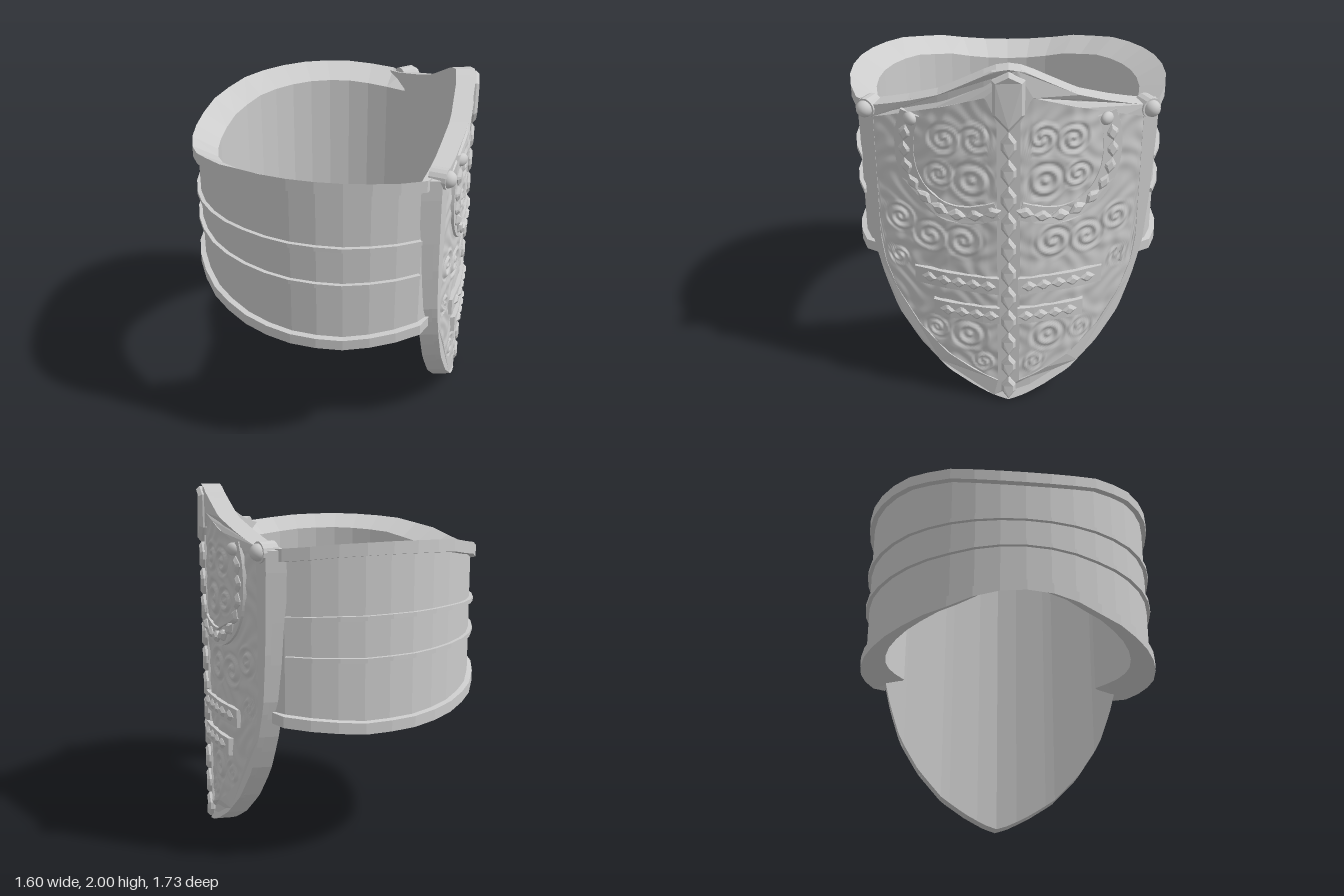
import * as THREE from 'three';

const grey = new THREE.MeshStandardMaterial({ color: 0xcccccc, flatShading: true });
const smooth = new THREE.MeshStandardMaterial({ color: 0xcccccc });

// Piecewise linear interpolation through [key, value] pairs
const table = (pts) => (k) => {
  let i = 1;
  while (i < pts.length - 1 && k > pts[i][0]) i++;
  const [a, b] = [pts[i - 1], pts[i]];
  const t = THREE.MathUtils.clamp((k - a[0]) / (b[0] - a[0]), 0, 1);
  return a[1] + (b[1] - a[1]) * t;
};

// Shield curvature and outlines, as functions of distance from the centre line
const face = table([[0, 0.772], [0.12, 0.755], [0.33, 0.7], [0.6, 0.585], [0.78, 0.495]]);
const shieldTop = table([[0, 2], [0.08, 1.985], [0.2, 1.92], [0.35, 1.84], [0.5, 1.785], [0.68, 1.73], [0.78, 1.71]]);
const shieldBottom = table([[0, 0.0], [0.07, 0.02], [0.2, 0.08], [0.35, 0.17], [0.5, 0.32], [0.62, 0.5],
  [0.69, 0.7], [0.74, 0.9], [0.765, 1.2], [0.78, 1.6]]);
const panelTop = table([[0.06, 1.72], [0.115, 1.85], [0.7, 1.66]]);
const panelBottom = table([[0.06, 0.13], [0.2, 0.19], [0.35, 0.28], [0.5, 0.43], [0.62, 0.63], [0.68, 0.8], [0.7, 0.95]]);

// Band edges along x
const bandTop = table([[-0.8, 1.63], [-0.7, 1.69], [-0.5, 1.74], [-0.2, 1.755], [0.1, 1.75], [0.5, 1.715]]);
const bandBottom = table([[-0.8, 0.9], [-0.7, 0.83], [-0.5, 0.785], [-0.3, 0.765], [0, 0.76], [0.3, 0.785], [0.5, 0.805]]);

// Wrap flat work (across, up, height) onto the curved shield
function bend(geo) {
  const p = geo.attributes.position;
  for (let i = 0; i < p.count; i++) {
    const u = p.getX(i);
    p.setXYZ(i, face(Math.abs(u)) + p.getZ(i), p.getY(i), -u);
  }
  geo.computeVertexNormals();
  return geo;
}

function add(group, name, geo, mat = grey) {
  const m = new THREE.Mesh(geo, mat);
  m.name = name;
  group.add(m);
  return m;
}

// Sweep a profile of [radius, height fraction, height offset] around the wrist
function sweep(profile, startDeg, n) {
  const pos = [], idx = [], k = profile.length;
  for (let s = 0; s <= n; s++) {
    const a = THREE.MathUtils.degToRad(startDeg + (360 - 2 * startDeg) * s / n);
    for (const [r, f, dy] of profile) {
      const z = r * Math.sin(a);
      const x = Math.min(0.07 + r * Math.cos(a), face(Math.abs(z)) - 0.05);
      const xe = 0.07 + 0.87 * Math.cos(a);
      pos.push(x, THREE.MathUtils.lerp(bandBottom(xe), bandTop(xe), f) + dy, z);
    }
  }
  for (let s = 0; s < n; s++) for (let i = 0; i < k; i++) {
    const a = s * k + i, b = s * k + (i + 1) % k;
    idx.push(a, b, a + k, b, b + k, a + k);
  }
  for (let i = 1; i < k - 1; i++) idx.push(0, i + 1, i, n * k, n * k + i, n * k + i + 1);
  const g = new THREE.BufferGeometry();
  g.setAttribute('position', new THREE.Float32BufferAttribute(pos, 3));
  g.setIndex(idx);
  g.computeVertexNormals();
  return g;
}

// Closed outline between a lower and an upper edge
function outline(u0, u1, lo, hi, n = 40) {
  const pts = [];
  const at = (i) => THREE.MathUtils.lerp(u0, u1, 0.5 - 0.5 * Math.cos(Math.PI * i / n));
  for (let i = 0; i <= n; i++) pts.push(new THREE.Vector2(at(i), lo(Math.abs(at(i)))));
  for (let i = n; i >= 0; i--) pts.push(new THREE.Vector2(at(i), hi(Math.abs(at(i)))));
  return pts;
}

// Chased ornament: spiral curls and rosettes over a wavy scroll ground
const curls = [[0.19, 1.38, 0.13, 0], [0.17, 1.62, 0.1, 2], [0.33, 1.6, 0.1, -1], [0.36, 1.4, 0.09, 1], [0.24, 1.02, 0.12, 1],
  [0.42, 1.02, 0.11, -1], [0.58, 1.1, 0.1, 1], [0.6, 0.85, 0.07, -1], [0.22, 0.42, 0.12, 0], [0.4, 0.43, 0.08, 1], [0.14, 0.25, 0.07, -1]];
function relief(u, y) {
  let h = 0.006 * Math.sin(34 * u + 3 * Math.sin(13 * y)) * Math.sin(30 * y + 2.5 * Math.sin(17 * u));
  for (const [cu, cy, r, turn] of curls) {
    const d = Math.hypot(u - cu, y - cy) / r;
    if (d >= 1) continue;
    const w = Math.min(1, (1 - d) * 4);
    const wave = Math.cos(d * 13 + turn * Math.atan2(y - cy, u - cu));
    h = h * (1 - w) + w * 0.009 * wave;
  }
  return h;
}

// Cut stone with six sides and bevelled edges
function gem(w, h, depth) {
  const c = h * 0.28, b = 0.014, W = w / 2 - b, H = h / 2 - b;
  const s = new THREE.Shape([[0, -H], [W, -H + c], [W, H - c], [0, H], [-W, H - c], [-W, -H + c]]
    .map(([x, y]) => new THREE.Vector2(x, y)));
  return new THREE.ExtrudeGeometry(s, { depth, bevelThickness: b, bevelSize: b, bevelSegments: 1 });
}

function addGem(group, u, y, w, h, turn = 0, lift = 0) {
  add(group, 'gem', bend(gem(w, h, 0.02).rotateZ(turn).translate(u, y, lift)));
}

export function createModel() {
  const model = new THREE.Group();

  // Band with flared rims, and its two ribs
  const band = new THREE.Group();
  band.name = 'band';
  add(band, 'bandWall', sweep([[0.73, 0, 0.08], [0.87, 0, 0], [0.87, 0, 0.06], [0.84, 0, 0.065],
    [0.84, 1, -0.07], [0.87, 1, -0.065], [0.87, 1, 0], [0.73, 1, -0.08]], 57, 26));
  for (const f of [0.392, 0.613])
    add(band, 'rib', sweep([[0.82, f, -0.012], [0.862, f, -0.012], [0.862, f, 0.012], [0.82, f, 0.012]], 67, 24));
  model.add(band);

  // Shield plate
  const shield = new THREE.Group();
  shield.name = 'shield';
  const plate = new THREE.BoxGeometry(2, 1, 0.085, 40, 1, 1);
  const pp = plate.attributes.position;
  for (let i = 0; i < pp.count; i++) {
    const u = 0.78 * Math.sin(pp.getX(i) * Math.PI / 2), a = Math.abs(u);
    pp.setXYZ(i, u, pp.getY(i) < 0 ? shieldBottom(a) : shieldTop(a), pp.getZ(i) - 0.0625);
  }
  add(shield, 'plate', bend(plate));

  // Raised border and centre strip, framing the two panels
  const frame = new THREE.Shape(outline(-0.78, 0.78, shieldBottom, shieldTop, 60));
  for (const s of [1, -1])
    frame.holes.push(new THREE.Path(outline(0.06 * s, 0.7 * s, panelBottom, panelTop)));
  add(shield, 'border', bend(new THREE.ExtrudeGeometry(frame, { depth: 0.03, bevelEnabled: false }).translate(0, 0, -0.03)));

  for (const s of [1, -1]) {
    // Ornamented panel
    const panel = new THREE.PlaneGeometry(1, 1, 70, 130);
    const p = panel.attributes.position;
    for (let i = 0; i < p.count; i++) {
      const t = p.getX(i) + 0.5;
      const a = 0.055 + 0.65 * (s > 0 ? t : 1 - t);
      const y = THREE.MathUtils.lerp(panelBottom(a), panelTop(a), p.getY(i) + 0.5);
      p.setXYZ(i, a * s, y, -0.009 + relief(a, y));
    }
    add(shield, 'ornamentPanel', bend(panel), smooth);

    // Curved ribbon set with stones
    const curve = new THREE.CatmullRomCurve3([[0.5, 1.72], [0.535, 1.6], [0.53, 1.42], [0.48, 1.3], [0.4, 1.225],
      [0.3, 1.185], [0.2, 1.185], [0.06, 1.225]].map(([u, y]) => new THREE.Vector3(u * s, y, 0)));
    const left = [], right = [];
    for (let i = 0; i <= 32; i++) {
      const c = curve.getPointAt(i / 32), t = curve.getTangentAt(i / 32);
      left.push(new THREE.Vector2(c.x - t.y * 0.05, c.y + t.x * 0.05));
      right.unshift(new THREE.Vector2(c.x + t.y * 0.05, c.y - t.x * 0.05));
    }
    add(shield, 'ribbon', bend(new THREE.ExtrudeGeometry(new THREE.Shape([...left, ...right]),
      { depth: 0.025, bevelEnabled: false }).translate(0, 0, -0.02)));
    for (let i = 0; i < 9; i++) {
      const k = 0.13 + 0.105 * i;
      const c = curve.getPointAt(k), t = curve.getTangentAt(k);
      addGem(shield, c.x, c.y, 0.06, 0.085, Math.atan2(t.y, t.x) - Math.PI / 2, -0.01);
    }
    const stud = new THREE.SphereGeometry(0.035, 14, 10).translate(0.5 * s, 1.69, 0.005);
    add(shield, 'ribbonStud', bend(stud), smooth);

    // Straight bars set with stones
    for (const [y, end, n, first] of [[0.77, 0.51, 5, 0.11], [0.58, 0.41, 4, 0.095]]) {
      const bar = new THREE.BoxGeometry(end - 0.05, 0.1, 0.04, 8, 1, 1);
      add(shield, 'bar', bend(bar.translate(s * (end + 0.05) / 2, y, -0.005)));
      for (let i = 0; i < n; i++) addGem(shield, s * (first + 0.08 * i), y, 0.06, 0.075, Math.PI / 2, -0.003);
    }

    // Corner rivet
    const rivet = new THREE.Group();
    rivet.name = 'rivet';
    add(rivet, 'rivetCollar', new THREE.CylinderGeometry(0.055, 0.055, 0.09, 14).rotateZ(-Math.PI / 2).translate(-0.02, 0, 0));
    add(rivet, 'rivetHead', new THREE.SphereGeometry(0.045, 16, 12).translate(0.025, 0, 0), smooth);
    rivet.position.set(0.505, 1.7, 0.73 * s);
    rivet.rotation.y = -0.45 * s;
    shield.add(rivet);
  }

  // Centre line of stones
  for (let i = 0; i < 11; i++) addGem(shield, 0, 0.09 + 0.151 * i, 0.08, 0.14, 0, -0.012);

  // Crest stone at the top
  const crest = new THREE.Shape([[0, 1.7], [0.065, 1.77], [0.065, 1.935], [0, 1.97], [-0.065, 1.935], [-0.065, 1.77]]
    .map(([u, y]) => new THREE.Vector2(u, y)));
  add(shield, 'crestStone', bend(new THREE.ExtrudeGeometry(crest,
    { depth: 0.02, bevelThickness: 0.018, bevelSize: 0.016, bevelSegments: 1 }).translate(0, 0, -0.01)));
  model.add(shield);
  return model;
}
